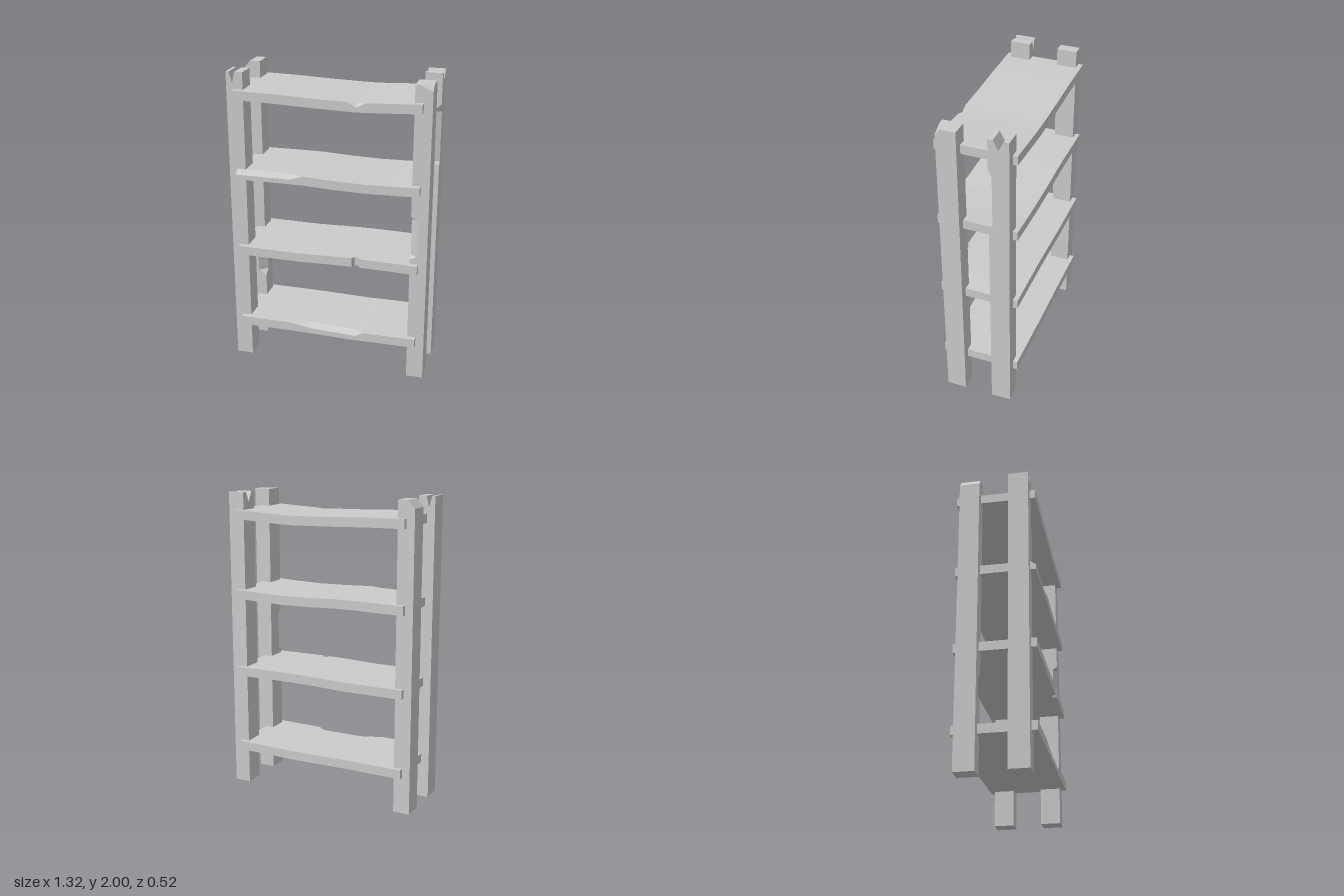
import * as THREE from 'three';
import { mergeGeometries } from 'three/addons/utils/BufferGeometryUtils.js';

const material = new THREE.MeshStandardMaterial({ color: 0xcccccc, flatShading: true });
const POST_W = 0.11, POST_D = 0.13, CAP_Y = 1.9;

// Skin a list of rings (each counter-clockwise seen from the far end) and close both ends.
function loft(rings) {
  const pos = [], n = rings[0].length, last = rings[rings.length - 1];
  const tri = (a, b, c) => pos.push(...a, ...b, ...c);
  for (let i = 0; i < rings.length - 1; i++) {
    const p = rings[i], q = rings[i + 1];
    for (let j = 0; j < n; j++) {
      const k = (j + 1) % n;
      tri(p[j], p[k], q[k]);
      tri(p[j], q[k], q[j]);
    }
  }
  for (let j = 1; j < n - 1; j++) {
    tri(rings[0][0], rings[0][j + 1], rings[0][j]);
    tri(last[0], last[j], last[j + 1]);
  }
  const g = new THREE.BufferGeometry();
  g.setAttribute('position', new THREE.Float32BufferAttribute(pos, 3));
  g.computeVertexNormals();
  return g;
}

// Horizontal post section at height y; cuts maps a corner index to its chip size [x, z].
// Corners: 0 = +x+z, 1 = +x-z, 2 = -x-z, 3 = -x+z
function postRing(y, cuts = {}) {
  const ring = [];
  [[1, 1], [1, -1], [-1, -1], [-1, 1]].forEach(([sx, sz], i) => {
    const [a, b] = cuts[i] || [0, 0];
    const alongX = [sx * (POST_W / 2 - a), y, sz * POST_D / 2];
    const alongZ = [sx * POST_W / 2, y, sz * (POST_D / 2 - b)];
    ring.push(...(i % 2 ? [alongZ, alongX] : [alongX, alongZ]));
  });
  return ring;
}

// Rings of a chip running up one post edge
const edgeChip = (corner, y0, y1, y2, y3, size) => [
  postRing(y0), postRing(y1, { [corner]: size }), postRing(y2, { [corner]: size }), postRing(y3)];

// Upright piece with a shaped top: profile extruded through the post
function profiled(bottom, top, width, depth) {
  const h = width / 2;
  const shape = new THREE.Shape([[-h, bottom], [h, bottom], ...top].map(p => new THREE.Vector2(...p)));
  const g = new THREE.ExtrudeGeometry(shape, { depth, bevelEnabled: false });
  g.translate(0, 0, -depth / 2);
  g.deleteAttribute('uv');
  return g;
}

// Shelf plank: stations run along x as [x, sag, cut depth z, cut height y]; a cut height of 1 goes right through
function shelf(y, stations) {
  return loft(stations.map(([x, sag, dz = 0, dy = 0]) => {
    const t = y + 0.03 + sag, b = y - 0.03 + sag, through = dy === 1;
    const zFront = 0.257 - (through ? dz : 0);
    return [
      [x, t, -0.26], [x, t, 0.257 - dz], [x, through ? t : t - dy, zFront],
      [x, b, zFront], [x, b, -0.26]];
  }));
}

export function createModel() {
  const group = new THREE.Group();
  const add = (name, geometry, x = 0, z = 0) => {
    const mesh = new THREE.Mesh(geometry, material);
    mesh.name = name;
    mesh.position.set(x, 0, z);
    group.add(mesh);
  };
  const xL = 0.6, xR = -0.605, zF = 0.155, zB = -0.165;

  // Front left post: chipped inner edge and a broken top corner
  add('frontLeftPost', loft([
    postRing(0), ...edgeChip(3, 0.86, 0.88, 1.13, 1.15, [0.045, 0.03]),
    postRing(1.96), postRing(2, { 0: [0.08, 0.035] })]), xL, zF);

  // Front right post: split top
  add('frontRightPost', profiled(0,
    [[0.055, 2], [0.003, 2], [-0.014, 1.93], [-0.035, 2], [-0.055, 2]], POST_W, POST_D), xR, zF);

  // Back left post: long edge chip, top split the other way
  const leftCap = profiled(CAP_Y, [[0.065, 2], [0.033, 2], [0, 1.935], [-0.033, 2], [-0.065, 2]], POST_D, POST_W);
  leftCap.rotateY(Math.PI / 2);
  add('backLeftPost', mergeGeometries([
    loft([postRing(0), ...edgeChip(0, 1.39, 1.42, 1.75, 1.8, [0.06, 0.023]), postRing(CAP_Y)]),
    leftCap]), xL, zB);

  // Back right post: chipped inner edge, sloped top
  add('backRightPost', mergeGeometries([
    loft([postRing(0), ...edgeChip(2 + 2 - 4, 0.45, 0.49, 0.6, 0.63, [0.055, 0.045]), postRing(CAP_Y)]),
    profiled(CAP_Y, [[0.055, 2], [-0.013, 2], [-0.055, 1.95]], POST_W, POST_D)]), xR, zB);

  // Worn, sagging shelves from bottom to top
  add('bottomShelf', shelf(0.272, [
    [-0.607, 0], [-0.25, 0.001], [-0.1, -0.001, 0.05, 0.022],
    [0.2, -0.006, 0.04, 0.026], [0.25, -0.004], [0.6, -0.001]]));
  add('lowerShelf', shelf(0.8, [
    [-0.607, 0], [-0.2, -0.003], [0, 0.003], [0.17, 0.006], [0.185, 0.006, 0.027, 1],
    [0.21, 0.006, 0.027, 1], [0.225, 0.006], [0.4, 0.004], [0.6, 0]]));
  add('upperShelf', shelf(1.332, [
    [-0.607, 0, 0.035, 0.027], [-0.25, 0.003, 0.035, 0.03], [-0.15, 0.002],
    [0.05, -0.007], [0.25, -0.011], [0.42, -0.007], [0.6, 0]]));
  add('topShelf', shelf(1.86, [
    [-0.607, 0], [-0.35, -0.004], [-0.1, -0.013], [0.13, -0.018],
    [0.195, -0.019, 0.027, 0.028], [0.255, -0.017], [0.4, -0.01], [0.6, 0]]));
  return group;
}
